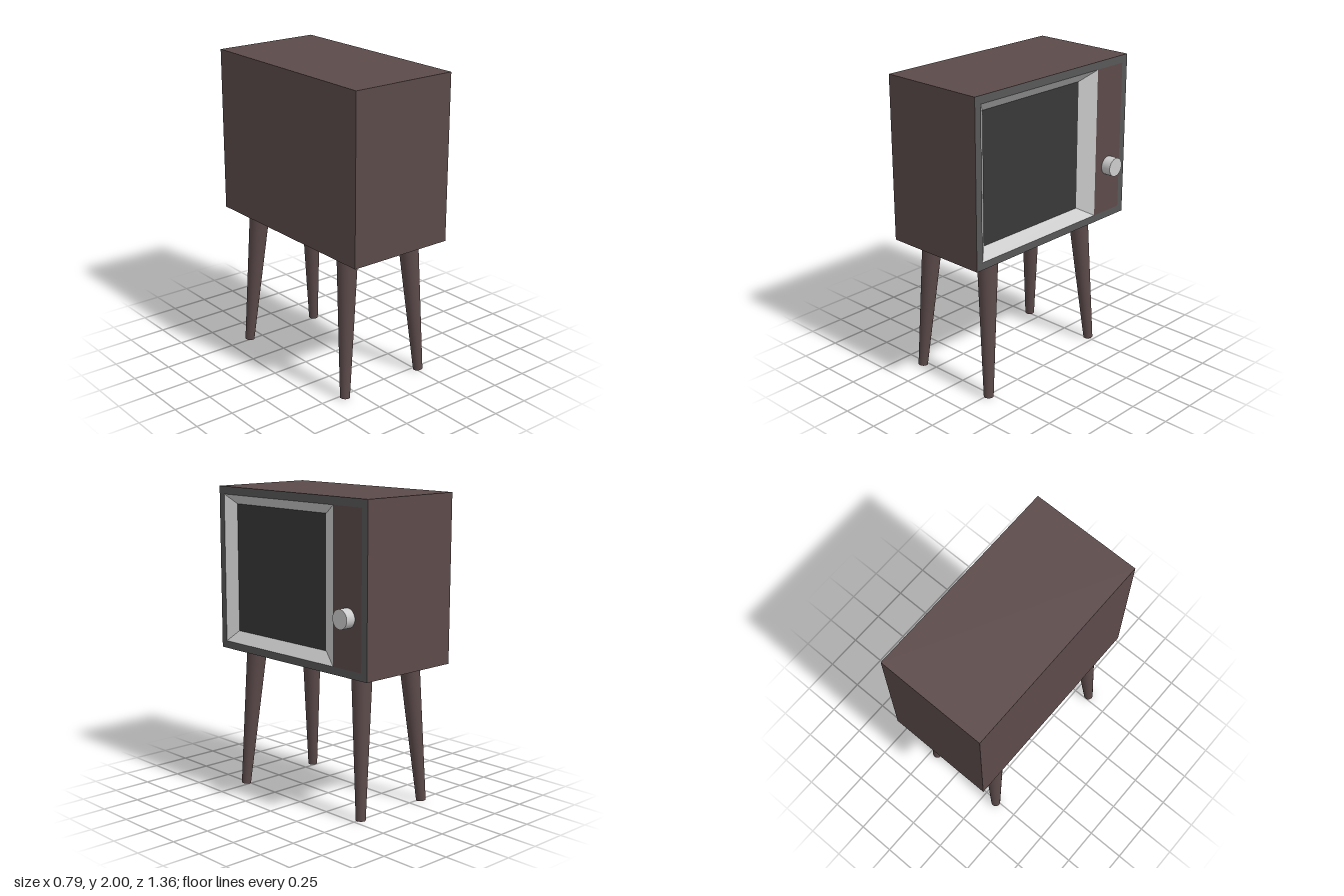
import * as THREE from 'three';

const mat = (color) => new THREE.MeshStandardMaterial({ color });
const BROWN = mat(0x5c4a4a), TRIM = mat(0x585858), GLASS = mat(0x383838), GREY = mat(0xcccccc);
const FRONT = 0.328, BACK = -0.394, BOTTOM = 0.932, TOP = 2, HALF = 0.68;

function add(parent, name, geometry, material) {
  const mesh = new THREE.Mesh(geometry, material);
  mesh.name = name;
  parent.add(mesh);
  return mesh;
}

// Counter-clockwise corners of a rectangle
const rect = (u0, v0, u1, v1) => [[u0, v0], [u1, v0], [u1, v1], [u0, v1]].map(([u, v]) => new THREE.Vector2(u, v));

// Four sloping faces from an outer rectangle down to a recessed inner one
function slopedFrame(outer, inner, depth) {
  const pos = [];
  for (let i = 0; i < 4; i++) {
    const j = (i + 1) % 4;
    const [a, b] = [outer[i], outer[j]].map((p) => [p.x, p.y, 0]);
    const [c, d] = [inner[j], inner[i]].map((p) => [p.x, p.y, -depth]);
    pos.push(...a, ...b, ...c, ...a, ...c, ...d);
  }
  const g = new THREE.BufferGeometry();
  g.setAttribute('position', new THREE.Float32BufferAttribute(pos, 3));
  g.computeVertexNormals();
  return g;
}

export function createModel() {
  const model = new THREE.Group();
  model.name = 'television';

  // Cabinet: a box left open on its +x side
  const box = new THREE.BoxGeometry(FRONT - BACK, TOP - BOTTOM, HALF * 2);
  box.setIndex(Array.from(box.index.array).slice(6));
  box.clearGroups();
  add(model, 'cabinet', box, BROWN).position.set((FRONT + BACK) / 2, (TOP + BOTTOM) / 2, 0);

  // Front, drawn flat and turned to face +x
  const front = new THREE.Group();
  front.name = 'frontFace';
  front.rotation.y = Math.PI / 2;
  front.position.x = FRONT;
  model.add(front);

  const rim = new THREE.Shape(rect(-HALF, BOTTOM, HALF, TOP));
  rim.holes.push(new THREE.Path(rect(-0.633, 0.98, 0.633, 1.95)));
  add(front, 'rim', new THREE.ShapeGeometry(rim), TRIM);

  const opening = rect(-0.633, 0.98, 0.393, 1.95);
  const glass = rect(-0.567, 1.05, 0.274, 1.888);
  const depth = 0.055;
  add(front, 'screenSurround', slopedFrame(opening, glass, depth), GREY);
  add(front, 'screen', new THREE.ShapeGeometry(new THREE.Shape(glass)), GLASS).position.z = -depth;
  add(front, 'controlPanel', new THREE.ShapeGeometry(new THREE.Shape(rect(0.393, 0.98, 0.633, 1.95))), BROWN);

  const knob = add(front, 'knob', new THREE.CylinderGeometry(0.061, 0.061, 0.066, 32), GREY);
  knob.rotation.x = Math.PI / 2;
  knob.position.set(0.517, 1.295, 0.033);

  // Splayed, tapered legs: [top x, top z, foot x, foot z]
  const up = new THREE.Vector3(0, 1, 0);
  const legs = [
    [0.205, 0.468, 0.265, 0.53],
    [-0.28, 0.468, -0.345, 0.53],
    [0.14, -0.45, 0.205, -0.513],
    [-0.28, -0.45, -0.345, -0.513],
  ];
  for (const [tx, tz, fx, fz] of legs) {
    const top = new THREE.Vector3(tx, BOTTOM + 0.01, tz);
    const foot = new THREE.Vector3(fx, 0.004, fz);
    const axis = top.clone().sub(foot);
    const leg = add(model, 'leg', new THREE.CylinderGeometry(0.066, 0.031, axis.length(), 32), BROWN);
    leg.position.copy(top).add(foot).multiplyScalar(0.5);
    leg.quaternion.setFromUnitVectors(up, axis.normalize());
  }
  return model;
}
